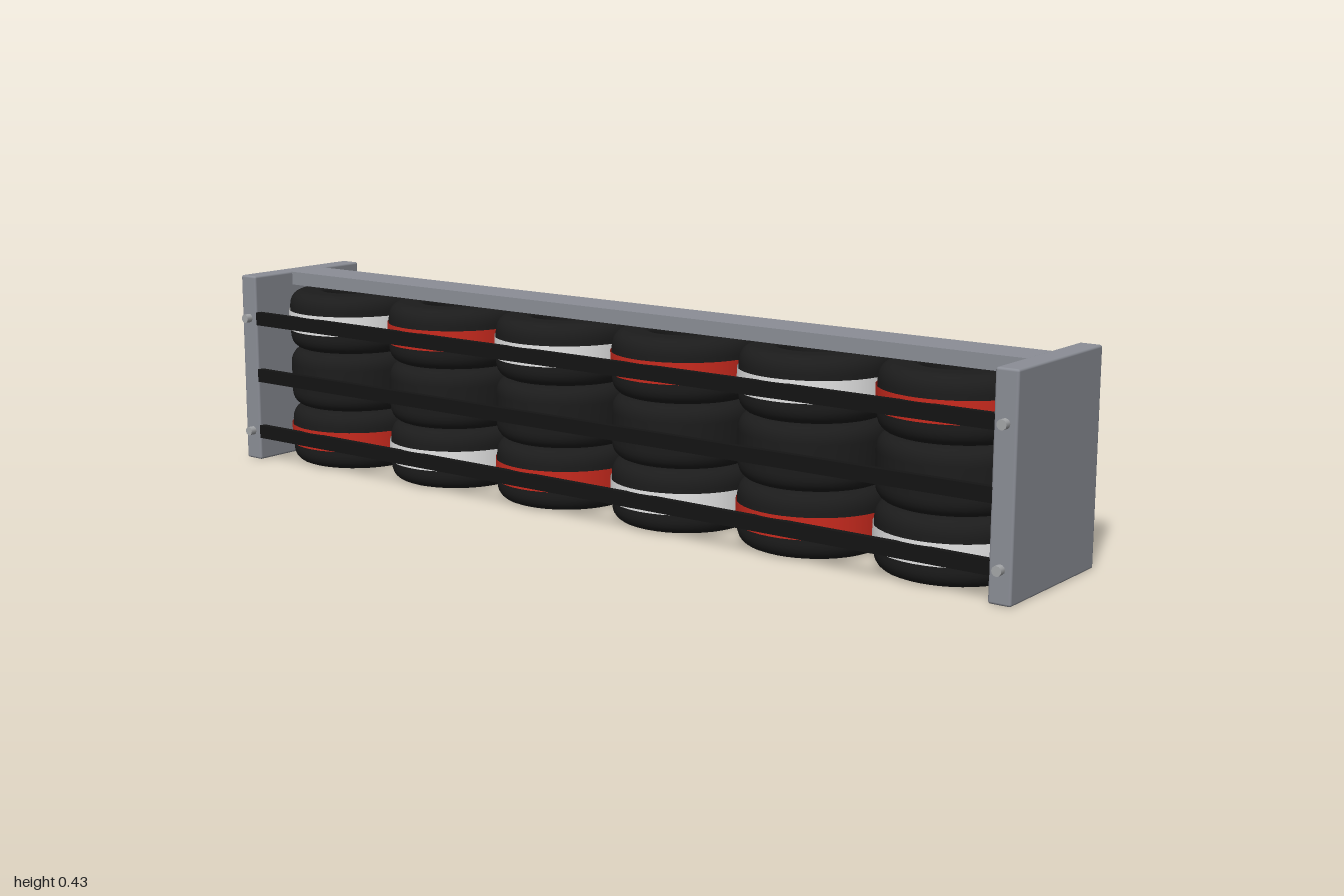
import * as THREE from 'three';
import { RoundedBoxGeometry } from 'three/addons/geometries/RoundedBoxGeometry.js';

const paint = (name, color) => {
  const m = new THREE.MeshStandardMaterial({ color });
  m.name = name;
  return m;
};

export function createModel() {
  const rubber = paint('tyre rubber', 0x1c1c1c);
  const strap = paint('black rail', 0x141414);
  const steel = paint('grey steel', 0x8b8e96);
  const boltSteel = paint('bolt steel', 0xa4a6a8);
  const red = paint('red band', 0xc92a1e);
  const white = paint('white band', 0xe4e4e4);

  const model = new THREE.Group();
  model.name = 'tyreBarrier';
  const add = (name, geometry, material, x, y, z, parent = model) => {
    const mesh = new THREE.Mesh(geometry, material);
    mesh.name = name;
    mesh.position.set(x, y, z);
    parent.add(mesh);
    return mesh;
  };

  const columns = 6, tiers = 3, pitch = 0.317, tierHeight = 0.4 / 3;

  // Tyre cross-section: rounded shoulders, flat tread, open centre
  const section = new THREE.Shape();
  const h = tierHeight / 2, inner = 0.072, outer = 0.153;
  section.moveTo(inner, -h + 0.018);
  section.quadraticCurveTo(inner, -h, inner + 0.018, -h);
  section.lineTo(outer - 0.034, -h);
  section.bezierCurveTo(outer - 0.012, -h, outer, -h + 0.014, outer, -h + 0.036);
  section.lineTo(outer, h - 0.036);
  section.bezierCurveTo(outer, h - 0.014, outer - 0.012, h, outer - 0.034, h);
  section.lineTo(inner + 0.018, h);
  section.quadraticCurveTo(inner, h, inner, h - 0.018);
  section.lineTo(inner, -h + 0.018);
  const tyreGeometry = new THREE.LatheGeometry(section.getPoints(6), 40);
  const bandGeometry = new THREE.CylinderGeometry(0.156, 0.156, 0.045, 40, 1, true);
  bandGeometry.name = 'band';
  red.side = white.side = THREE.DoubleSide;

  // Stacks of tyres, with alternating bands round the top and bottom tiers
  for (let i = 0; i < columns; i++) {
    const stack = new THREE.Group();
    stack.name = 'tyreStack';
    stack.position.z = ((columns - 1) / 2 - i) * pitch;
    model.add(stack);
    for (let t = 0; t < tiers; t++) {
      const y = (t + 0.5) * tierHeight;
      add('tyre', tyreGeometry, rubber, 0, y, 0, stack);
      if (t !== 1) {
        const isRed = (i % 2 === 0) === (t === 2);
        add('colourBand', bandGeometry, isRed ? red : white, 0, y, 0, stack);
      }
    }
  }

  // Side rails
  const railGeometry = new THREE.BoxGeometry(0.014, 0.03, 1.91);
  for (const x of [-0.158, 0.158])
    for (let t = 0; t < tiers; t++)
      add('sideRail', railGeometry, strap, x, (t + 0.5) * tierHeight, 0);

  // Top beam
  add('topBeam', new THREE.BoxGeometry(0.1, 0.03, 1.91), steel, 0, 0.416, 0);

  // End plates with bolts through their edges
  const plateGeometry = new RoundedBoxGeometry(0.332, 0.432, 0.047, 2, 0.005);
  const boltGeometry = new THREE.CylinderGeometry(0.01, 0.01, 0.025, 12);
  boltGeometry.rotateZ(Math.PI / 2);
  for (const side of [-1, 1]) {
    add('endPlate', plateGeometry, steel, 0, 0.216, side * 0.9765);
    for (const x of [-0.168, 0.168])
      for (const y of [0.067, 0.333])
        add('bolt', boltGeometry, boltSteel, x, y, side * 0.9765);
  }
  return model;
}
